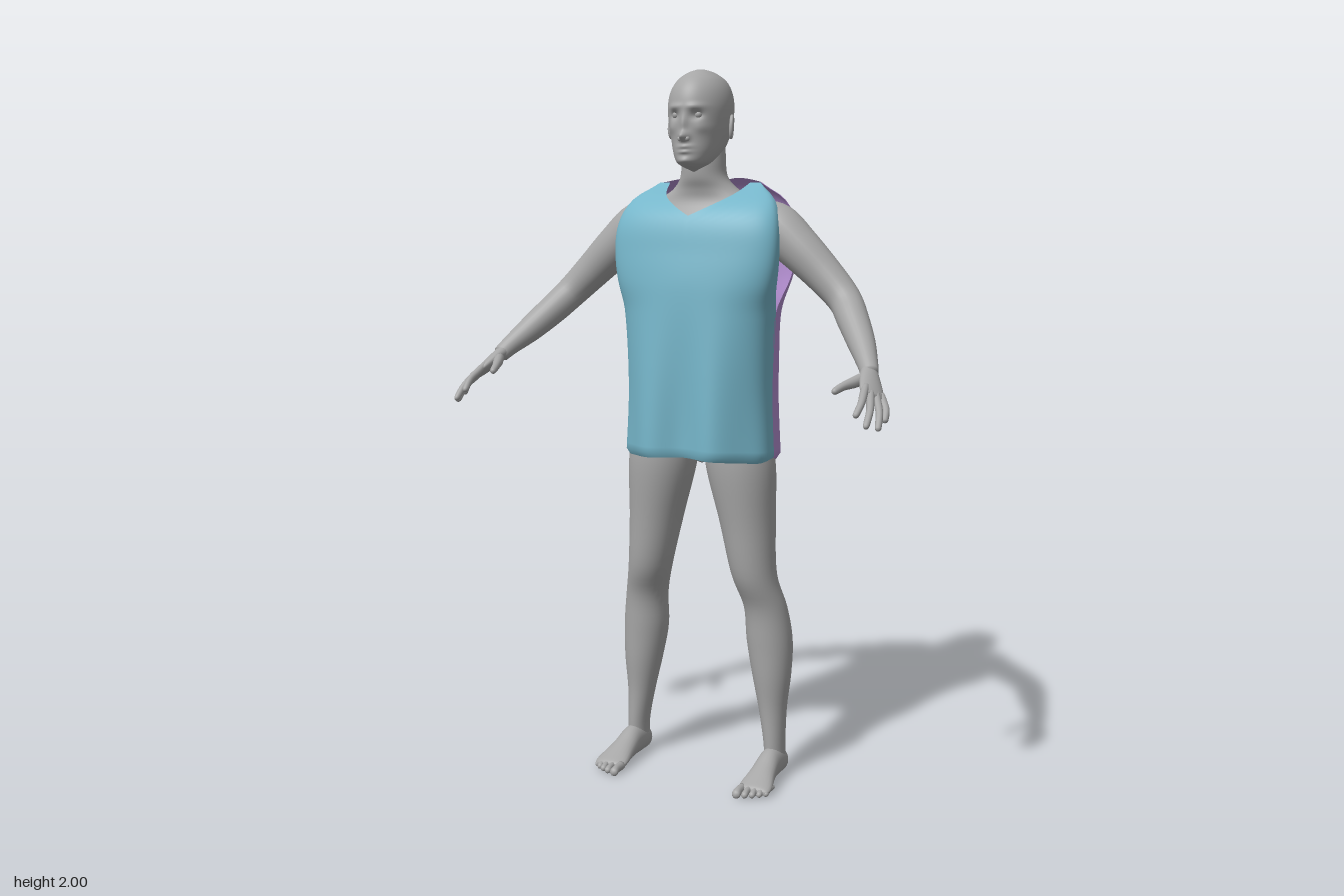
import * as THREE from 'three';

const skin = new THREE.MeshStandardMaterial({ color: 0xa6a6a6 });
skin.name = 'grey skin';
const blue = new THREE.MeshStandardMaterial({ color: 0x76b6ca, side: THREE.DoubleSide });
blue.name = 'blue cloth';
const purple = new THREE.MeshStandardMaterial({ color: 0xb08ccd, side: THREE.DoubleSide });
purple.name = 'purple cloth';

const X = new THREE.Vector3(1, 0, 0), Y = new THREE.Vector3(0, 1, 0), Z = new THREE.Vector3(0, 0, 1);

function buildGeometry(points, index) {
  const g = new THREE.BufferGeometry().setFromPoints(points);
  g.setIndex(index);
  g.computeVertexNormals();
  return g;
}

function addMesh(parent, name, geometry, material) {
  const m = new THREE.Mesh(geometry, material);
  m.name = name;
  parent.add(m);
  return m;
}

// Smooth closed tube through stations [x, y, z, a, b]; a runs along ref, b across it.
function loft(stations, ref, { axis = null, n = 24, sub = 5, warp = null } = {}) {
  const spline = (f) => new THREE.CatmullRomCurve3(stations.map(f), false, 'catmullrom', 0.5);
  const path = spline((s) => new THREE.Vector3(s[0], s[1], s[2]));
  const radii = spline((s) => new THREE.Vector3(s[3], s[4], 0));
  const rows = (stations.length - 1) * sub, pts = [], idx = [];
  const caps = [];
  for (let i = 0; i <= rows; i++) {
    const c = path.getPoint(i / rows), r = radii.getPoint(i / rows);
    const T = axis ? axis.clone() : path.getTangent(i / rows);
    const U = ref.clone().addScaledVector(T, -ref.dot(T)).normalize();
    const V = T.clone().cross(U);
    for (let j = 0; j < n; j++) {
      const q = (j / n) * Math.PI * 2;
      pts.push(c.clone().addScaledVector(U, r.x * Math.cos(q)).addScaledVector(V, r.y * Math.sin(q)));
    }
    if (i === 0 || i === rows) caps.push(c.clone().addScaledVector(T, (i ? 0.5 : -0.5) * Math.min(r.x, r.y)));
  }
  for (let i = 0; i < rows; i++) for (let j = 0; j < n; j++) {
    const a = i * n + j, b = i * n + (j + 1) % n;
    idx.push(a, b, b + n, a, b + n, a + n);
  }
  const s = pts.length;
  pts.push(...caps);
  for (let j = 0; j < n; j++) {
    const k = (j + 1) % n;
    idx.push(s, k, j, s + 1, rows * n + j, rows * n + k);
  }
  pts.forEach((p) => { if (warp) warp(p); p.y = THREE.MathUtils.clamp(p.y, 0, 2); });
  return buildGeometry(pts, idx);
}

// Smooth function through [x, value] keys
function through(keys) {
  const slope = (i) => {
    const a = keys[Math.max(i - 1, 0)], b = keys[Math.min(i + 1, keys.length - 1)];
    return (b[1] - a[1]) / (b[0] - a[0]);
  };
  return (x) => {
    let i = 0;
    while (i < keys.length - 2 && x > keys[i + 1][0]) i++;
    const [x0, v0] = keys[i], [x1, v1] = keys[i + 1], h = x1 - x0;
    const t = THREE.MathUtils.clamp((x - x0) / h, 0, 1), t2 = t * t, t3 = t2 * t;
    return v0 * (2 * t3 - 3 * t2 + 1) + v1 * (3 * t2 - 2 * t3)
      + h * (slope(i) * (t3 - 2 * t2 + t) + slope(i + 1) * (t3 - t2));
  };
}

// Face relief: [x, y, spreadX, spreadY, depth], mirrored where x is not 0
const relief = [
  [0, 1.817, 0.013, 0.013, 0.023], [0, 1.85, 0.009, 0.024, 0.009], [0.03, 1.896, 0.022, 0.008, 0.006],
  [0.033, 1.873, 0.015, 0.011, -0.012], [0, 1.79, 0.02, 0.006, 0.007], [0, 1.776, 0.018, 0.005, 0.006],
  [0, 1.752, 0.02, 0.01, 0.007], [0.045, 1.84, 0.016, 0.014, 0.004],
];
function sculptFace(p) {
  if (p.z < -0.06) return;
  const fade = THREE.MathUtils.smoothstep(p.z, -0.06, -0.01);
  let dz = 0;
  for (const [x, y, sx, sy, d] of relief) {
    const dx = (x ? Math.abs(p.x) - x : p.x) / sx, dy = (p.y - y) / sy;
    dz += d * Math.exp(-dx * dx - dy * dy);
  }
  p.z += dz * fade;
}

function buildHead(group) {
  // y, front z, back z, half width
  const rows = [
    [1.738, 0.01, -0.08, 0.03], [1.75, 0.025, -0.11, 0.046], [1.775, 0.028, -0.15, 0.061],
    [1.81, 0.026, -0.178, 0.073], [1.85, 0.028, -0.19, 0.082], [1.9, 0.03, -0.197, 0.086],
    [1.94, 0.02, -0.191, 0.079], [1.97, -0.002, -0.174, 0.062], [1.99, -0.035, -0.138, 0.036], [1.999, -0.065, -0.105, 0.012],
  ];
  const stations = rows.map(([y, f, b, w]) => [0, y, (f + b) / 2, w, (f - b) / 2]);
  addMesh(group, 'head', loft(stations, X, { axis: Y, n: 96, sub: 10, warp: sculptFace }), skin);
  for (const s of [1, -1]) {
    addMesh(group, 'eye', new THREE.SphereGeometry(0.011, 16, 12), skin).position.set(s * 0.033, 1.875, 0.005);
    addMesh(group, 'nostril', new THREE.SphereGeometry(0.007, 12, 8), skin).position.set(s * 0.011, 1.811, 0.03);
    const ear = new THREE.Group();
    ear.name = 'ear';
    addMesh(ear, 'earLobe', new THREE.SphereGeometry(1, 16, 12), skin).scale.set(0.006, 0.03, 0.016);
    const rim = addMesh(ear, 'earRim', new THREE.TorusGeometry(0.026, 0.005, 8, 24), skin);
    rim.rotation.y = Math.PI / 2;
    rim.scale.set(0.6, 1.1, 1);
    ear.position.set(s * 0.089, 1.845, -0.088);
    ear.rotation.set(-0.15, s * 0.3, 0);
    group.add(ear);
  }
}

function buildLimbs(group, s) {
  const side = s > 0 ? 'left' : 'right';
  const flip = (st) => st.map(([x, ...r]) => [s * x, ...r]);
  const part = (name, st, ref, opt) => addMesh(group, side + name, loft(flip(st), ref, opt), skin);

  part('Leg', [
    [0.222, 0.03, -0.12, 0.03, 0.042], [0.22, 0.1, -0.118, 0.03, 0.042], [0.212, 0.2, -0.122, 0.04, 0.047],
    [0.206, 0.3, -0.126, 0.056, 0.06], [0.198, 0.4, -0.128, 0.066, 0.067], [0.189, 0.5, -0.116, 0.062, 0.063],
    [0.164, 0.6, -0.09, 0.064, 0.071], [0.143, 0.75, -0.09, 0.079, 0.085], [0.123, 0.9, -0.088, 0.099, 0.097],
    [0.11, 1.0, -0.09, 0.095, 0.095],
  ], X, { axis: Y, n: 32 });

  part('Foot', [
    [0.222, 0.035, -0.165, 0.014, 0.018], [0.222, 0.036, -0.152, 0.028, 0.034], [0.222, 0.045, -0.12, 0.032, 0.044],
    [0.223, 0.045, -0.07, 0.033, 0.044], [0.225, 0.033, -0.02, 0.038, 0.032], [0.228, 0.021, 0.03, 0.047, 0.02],
    [0.229, 0.015, 0.055, 0.046, 0.014], [0.229, 0.012, 0.064, 0.038, 0.01],
  ], X, { axis: Z });
  [[0.193, 0.105, 0.0125], [0.216, 0.1, 0.0095], [0.235, 0.091, 0.009], [0.252, 0.08, 0.0085], [0.267, 0.066, 0.008]]
    .forEach(([x, z, r]) => part('Toe', [
      [x, 0.015, z - 0.055, r, r], [x, 0.015, z - 0.025, r * 0.9, r], [x, 0.011, z - 0.009, r, r], [x, 0.01, z - 0.003, r * 0.6, r * 0.6],
    ], X, { axis: Z, n: 12, sub: 4 }));

  part('Arm', [
    [0.15, 1.6, -0.125, 0.055, 0.05], [0.21, 1.573, -0.12, 0.063, 0.068], [0.28, 1.517, -0.115, 0.058, 0.061],
    [0.36, 1.443, -0.111, 0.05, 0.052], [0.42, 1.383, -0.097, 0.045, 0.046], [0.46, 1.333, -0.055, 0.043, 0.043],
    [0.505, 1.277, 0.002, 0.036, 0.037], [0.54, 1.233, 0.055, 0.027, 0.028], [0.557, 1.208, 0.085, 0.022, 0.024],
  ], Z);

  // Hand: flat palm, four fingers and a thumb
  const across = new THREE.Vector3(s * 0.04, -0.025, -0.04).normalize();
  part('Palm', [
    [0.552, 1.215, 0.075, 0.023, 0.02], [0.565, 1.195, 0.105, 0.031, 0.018], [0.58, 1.172, 0.135, 0.036, 0.015],
    [0.589, 1.158, 0.155, 0.034, 0.011],
  ], across);
  const tips = [[0.576, 1.118, 0.248], [0.605, 1.092, 0.25], [0.625, 1.082, 0.213], [0.629, 1.098, 0.172]];
  tips.forEach(([x, y, z], i) => {
    const k = i / 3, bx = 0.57 + 0.037 * k, by = 1.172 - 0.024 * k, bz = 0.168 - 0.036 * k;
    const at = (t, lift, r) => [bx + (x - bx) * t + lift, by + (y - by) * t + lift, bz + (z - bz) * t, r, r];
    part('Finger', [at(-0.25, 0, 0.009), at(0.15, 0.003, 0.0105), at(0.55, 0.006, 0.0095), at(0.9, 0.001, 0.0085), at(0.98, 0, 0.005)], across, { n: 12, sub: 4 });
  });
  part('Thumb', [
    [0.555, 1.205, 0.095, 0.014, 0.014], [0.535, 1.192, 0.135, 0.015, 0.014], [0.517, 1.184, 0.175, 0.011, 0.011],
    [0.507, 1.175, 0.205, 0.009, 0.009], [0.505, 1.173, 0.212, 0.005, 0.005],
  ], across, { n: 12 });
}

// One shirt panel: side edge (seam and armhole) and middle depth as functions of height
const shirtWidth = through([[0.92, 0.223], [1.13, 0.214], [1.34, 0.224], [1.475, 0.245], [1.58, 0.242], [1.65, 0.213], [1.69, 0.16], [1.72, 0.13]]);
function shirtPanel(dir, hem, top, edge, depth) {
  const cols = 64, rows = 48, pts = [], idx = [];
  for (let i = 0; i <= rows; i++) for (let j = 0; j <= cols; j++) {
    const q = (j / cols - 0.5) * Math.PI, t = Math.sin(q), low = hem(Math.abs(t));
    const y = low + (top(Math.abs(t)) - low) * (i / rows);
    const x = dir * shirtWidth(y) * t, bow = Math.pow(Math.max(Math.cos(q), 0), 0.7);
    // soft folds hang towards the hem
    const fold = 0.018 * Math.cos(x * Math.PI / 0.1) * THREE.MathUtils.smoothstep(1.45 - y, 0, 0.5) * (dir > 0 ? 1 : 0.3);
    const roll = i === 0 ? 0.95 : 1;
    pts.push(new THREE.Vector3(x * roll, y, edge(y) + (depth(y) - edge(y) - dir * fold * dir) * bow * roll));
  }
  for (let i = 0; i < rows; i++) for (let j = 0; j < cols; j++) {
    const a = i * (cols + 1) + j, b = a + cols + 1;
    idx.push(a, a + 1, b + 1, a, b + 1, b);
  }
  return buildGeometry(pts, idx);
}

function buildShirt(group) {
  addMesh(group, 'shirtFront', shirtPanel(1,
    (t) => 0.94 - 0.015 * t * t,
    (t) => (t < 0.8 ? 1.605 + 0.09 * t / 0.8 : 1.695),
    through([[0.92, -0.09], [1.2, -0.095], [1.34, -0.09], [1.42, -0.062], [1.56, -0.06], [1.65, -0.1], [1.695, -0.14]]),
    through([[0.92, 0.062], [1.2, 0.058], [1.4, 0.046], [1.5, 0.03], [1.6, 0.005], [1.65, -0.045], [1.695, -0.138]])), blue);
  addMesh(group, 'shirtBack', shirtPanel(-1,
    (t) => 0.918 + 0.007 * t * t,
    (t) => 1.69 + 0.015 * Math.sin(Math.PI * t) + 0.005 * t,
    through([[0.92, -0.09], [1.2, -0.095], [1.34, -0.09], [1.44, -0.16], [1.58, -0.182], [1.65, -0.17], [1.695, -0.14]]),
    through([[0.92, -0.258], [1.2, -0.247], [1.4, -0.238], [1.55, -0.236], [1.65, -0.215], [1.69, -0.192], [1.71, -0.17]])), purple);
}

export function createModel() {
  const group = new THREE.Group();
  group.name = 'figure';
  buildHead(group);
  // Torso and neck
  addMesh(group, 'torso', loft([
    [0, 0.94, -0.09, 0.08, 0.07], [0, 1.0, -0.09, 0.18, 0.1], [0, 1.15, -0.085, 0.165, 0.1], [0, 1.35, -0.095, 0.175, 0.105],
    [0, 1.5, -0.105, 0.19, 0.1], [0, 1.58, -0.112, 0.195, 0.088], [0, 1.64, -0.122, 0.155, 0.07], [0, 1.675, -0.115, 0.098, 0.064],
    [0, 1.71, -0.103, 0.067, 0.064], [0, 1.76, -0.1, 0.061, 0.063], [0, 1.83, -0.105, 0.058, 0.06],
  ], X, { axis: Y, n: 40 }), skin);
  buildLimbs(group, 1);
  buildLimbs(group, -1);
  buildShirt(group);
  return group;
}
